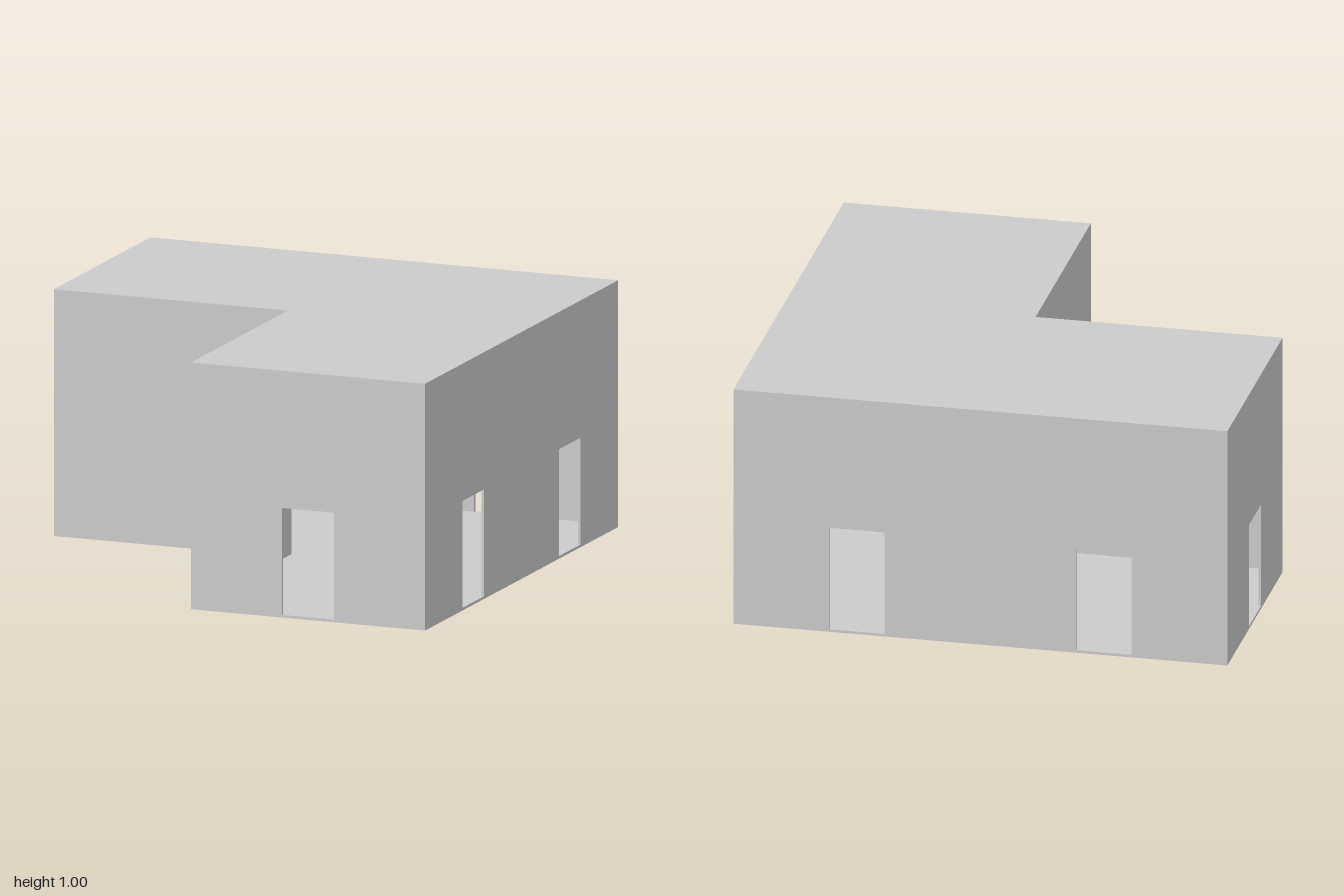
import * as THREE from 'three';

const T = 0.011;          // thickness of walls and slabs
const DOOR_HALF = 0.111;  // half the doorway width
const DOOR_TOP = 0.444;

const material = new THREE.MeshStandardMaterial({ color: 0xcccccc, flatShading: true });

// L-shaped plate lying flat, its underside at height y
function slab(name, y) {
  // shape y becomes -z once laid down
  const outline = [[-1, 0], [0, 0], [0, -1], [1, -1], [1, 1], [-1, 1]];
  const shape = new THREE.Shape(outline.map(([x, v]) => new THREE.Vector2(x, v)));
  const geometry = new THREE.ExtrudeGeometry(shape, { depth: T, bevelEnabled: false });
  geometry.rotateX(-Math.PI / 2);
  const mesh = new THREE.Mesh(geometry, material);
  mesh.name = name;
  mesh.position.y = y;
  return mesh;
}

// Upright panel from a to b, with doorways notched out of its lower edge
function wallGeometry(a, b, doors) {
  const shape = new THREE.Shape();
  shape.moveTo(a, T);
  for (const d of doors) {
    shape.lineTo(d - DOOR_HALF, T);
    shape.lineTo(d - DOOR_HALF, DOOR_TOP);
    shape.lineTo(d + DOOR_HALF, DOOR_TOP);
    shape.lineTo(d + DOOR_HALF, T);
  }
  shape.lineTo(b, T);
  shape.lineTo(b, 1 - T);
  shape.lineTo(a, 1 - T);
  shape.closePath();
  return new THREE.ExtrudeGeometry(shape, { depth: T, bevelEnabled: false });
}

export function createModel() {
  const house = new THREE.Group();
  house.name = 'house';
  house.add(slab('floor', 0), slab('flatRoof', 1 - T));

  // Walls running along x: at = lower z face; along z: at = lower x face
  const walls = [
    { name: 'backWall', axis: 'x', a: -1, b: 1, at: -1, doors: [-0.5, 0.5] },
    { name: 'frontWall', axis: 'x', a: 0, b: 1, at: 1 - T, doors: [0.5] },
    { name: 'innerFrontWall', axis: 'x', a: -1, b: T, at: -T, doors: [] },
    { name: 'leftWall', axis: 'z', a: -1 + T, b: 1 - T, at: 1 - T, doors: [-0.5, 0.5] },
    { name: 'rightWall', axis: 'z', a: -1 + T, b: -T, at: -1, doors: [-0.5] },
    { name: 'innerRightWall', axis: 'z', a: 0, b: 1 - T, at: 0, doors: [] },
  ];
  for (const { name, axis, a, b, at, doors } of walls) {
    const mesh = new THREE.Mesh(wallGeometry(a, b, doors), material);
    mesh.name = name;
    if (axis === 'x') {
      mesh.position.z = at;
    } else {
      mesh.rotation.y = -Math.PI / 2;
      mesh.position.x = at + T;
    }
    house.add(mesh);
  }
  return house;
}
